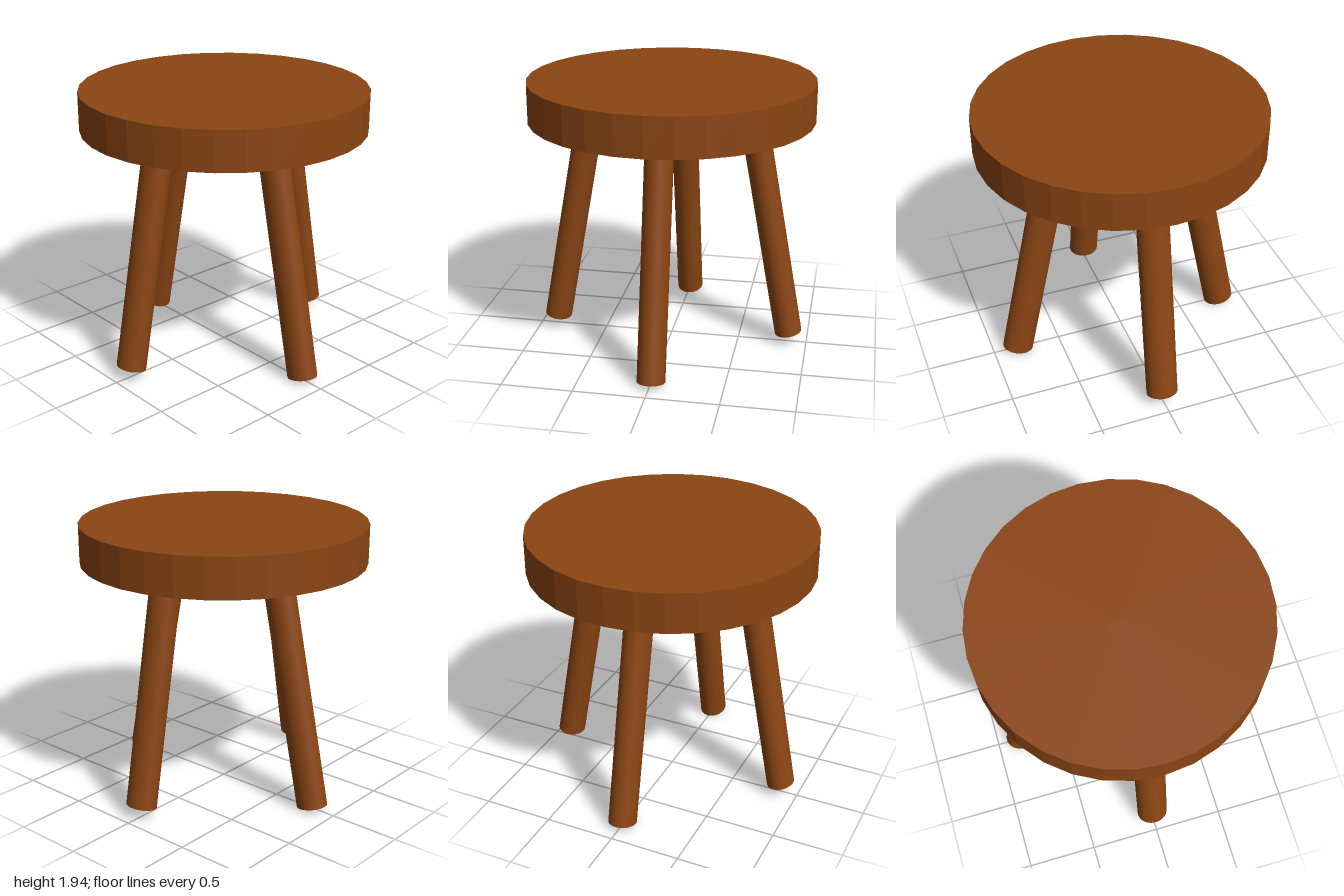
import * as THREE from 'three';

export function createModel() {
  const group = new THREE.Group();
  group.name = 'stool';
  const wood = new THREE.MeshStandardMaterial({ color: 0x8b4513 });
  const facetedWood = new THREE.MeshStandardMaterial({ color: 0x8b4513, flatShading: true });

  // Thick round seat with a faceted rim
  const seat = new THREE.Mesh(new THREE.CylinderGeometry(1, 1, 0.275, 32), facetedWood);
  seat.name = 'seat';
  seat.position.y = 1.802;
  group.add(seat);

  // Slightly oval leg, pivoting at its foot and running up into the seat
  const legLength = 1.76;
  const legGeometry = new THREE.CylinderGeometry(1, 1, legLength, 32);
  legGeometry.translate(0, legLength / 2, 0);
  legGeometry.scale(0.1125, 1, 0.0975);

  function addLeg(name, foot, tiltX, tiltZ) {
    const leg = new THREE.Mesh(legGeometry, wood);
    leg.name = name;
    leg.position.set(...foot);
    leg.rotation.set(tiltX, 0, tiltZ);
    group.add(leg);
  }

  // Four splayed legs; the side pair reaches a little lower
  const sideTilt = 0.209, frontTilt = 0.181;
  addLeg('leftLeg', [0.817, 0.026, -0.005], 0, sideTilt);
  addLeg('rightLeg', [-0.819, 0.026, -0.005], 0, -sideTilt);
  addLeg('frontLeg', [0.003, 0.085, 0.869], -frontTilt, 0);
  addLeg('backLeg', [0.003, 0.085, -0.866], frontTilt, 0);

  return group;
}
